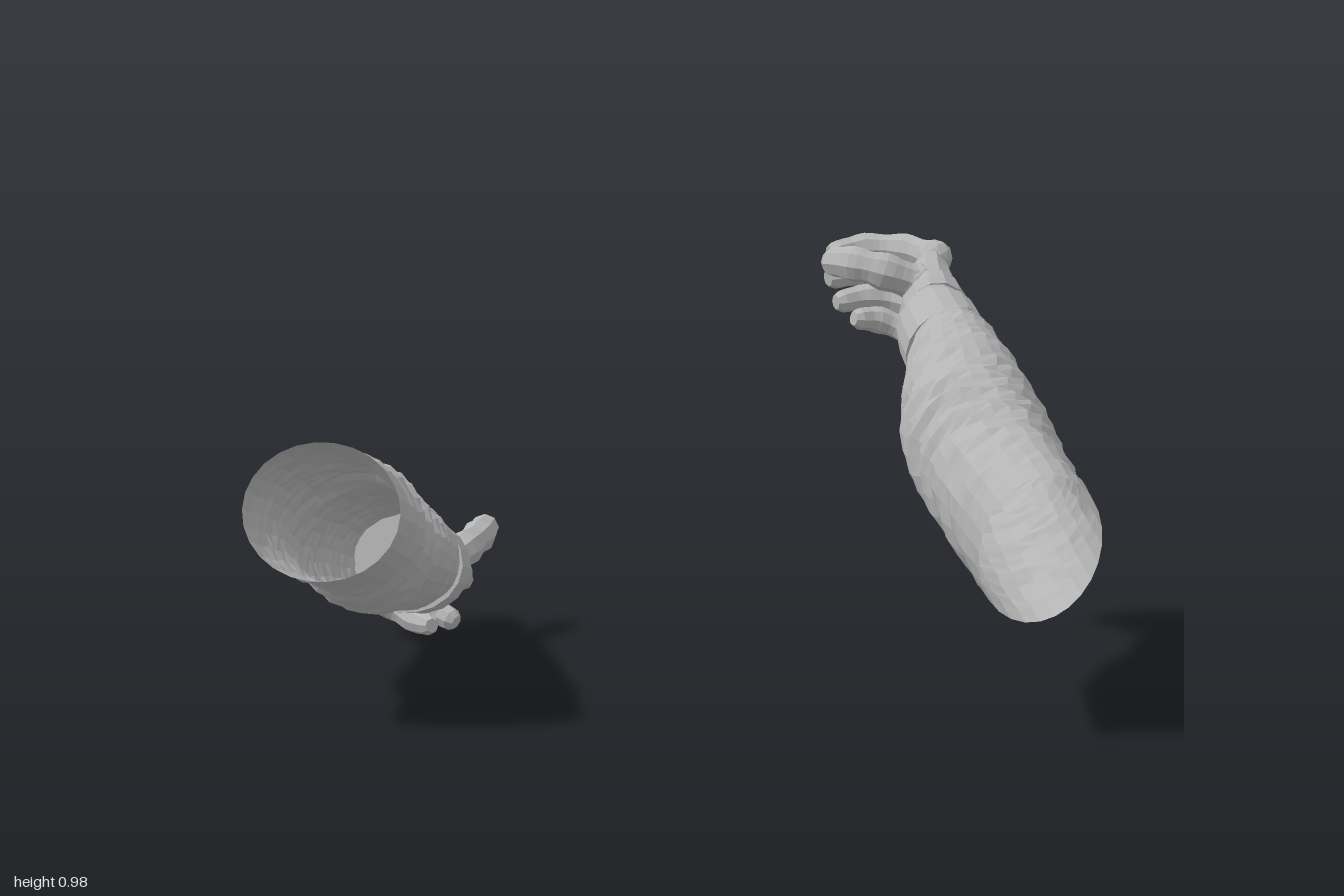
import * as THREE from 'three';

const grey = new THREE.MeshStandardMaterial({ color: 0xb4b4b4, flatShading: true, side: THREE.DoubleSide });
grey.name = 'pale grey';

// small seeded random
function seeded(seed) {
  let s = seed;
  return () => {
    s = (s * 16807) % 2147483647;
    return s / 2147483647;
  };
}

// Skin of elliptical rings along a curve. Each station is [x, y, z, halfWidth, halfHeight].
function loft(name, stations, { rows = 10, sides = 10, roll = 0, capStart = false, capEnd = false, shape = () => 1 } = {}) {
  const curve = new THREE.CatmullRomCurve3(stations.map((s) => new THREE.Vector3(s[0], s[1], s[2])));
  const n = stations.length - 1;
  const pos = [], index = [];
  const up = new THREE.Vector3(), side = new THREE.Vector3(), p = new THREE.Vector3();
  for (let i = 0; i <= rows; i++) {
    const t = i / rows;
    const k = Math.min(Math.floor(t * n), n - 1), f = t * n - k;
    const ra = THREE.MathUtils.lerp(stations[k][3], stations[k + 1][3], f);
    const rb = THREE.MathUtils.lerp(stations[k][4], stations[k + 1][4], f);
    const c = curve.getPoint(t), tan = curve.getTangent(t);
    side.crossVectors(tan, new THREE.Vector3(0, 1, 0)).normalize().applyAxisAngle(tan, -roll);
    up.crossVectors(side, tan);
    for (let j = 0; j < sides; j++) {
      const a = (j / sides) * Math.PI * 2, m = shape(t, a);
      p.copy(c).addScaledVector(side, Math.cos(a) * ra * m).addScaledVector(up, Math.sin(a) * rb * m);
      pos.push(p.x, p.y, p.z);
    }
  }
  for (let i = 0; i < rows; i++) {
    for (let j = 0; j < sides; j++) {
      const j2 = (j + 1) % sides;
      const a = i * sides + j, b = i * sides + j2, d = a + sides, e = b + sides;
      index.push(a, d, b, b, d, e);
    }
  }
  const cap = (row, t, flip) => {
    const c = curve.getPoint(t), id = pos.length / 3;
    pos.push(c.x, c.y, c.z);
    for (let j = 0; j < sides; j++) {
      const a = row * sides + j, b = row * sides + ((j + 1) % sides);
      index.push(id, flip ? b : a, flip ? a : b);
    }
  };
  if (capStart) cap(0, 0, false);
  if (capEnd) cap(rows, 1, true);
  const indexed = new THREE.BufferGeometry();
  indexed.setAttribute('position', new THREE.Float32BufferAttribute(pos, 3));
  indexed.setIndex(index);
  const geo = indexed.toNonIndexed();
  geo.computeVertexNormals();
  const mesh = new THREE.Mesh(geo, grey);
  mesh.name = name;
  return mesh;
}

// Cloth folds: slanted ridges, deepest around the elbow
function folds(seed, phase) {
  const rnd = seeded(seed);
  return (t, a) => {
    const wave = t * 9 + 0.45 * Math.sin(a + phase) + 0.25 * Math.sin(2 * a + phase * 2);
    const f = wave - Math.floor(wave);
    const ridge = f < 0.3 ? f / 0.3 : (1 - f) / 0.7;
    const elbow = Math.exp(-(((t - 0.45) / 0.2) ** 2));
    const open = Math.min(1, t * 10);
    const around = 0.6 + 0.4 * Math.cos(a - phase);
    return 1 + open * ((ridge - 0.5) * (0.05 + 0.13 * elbow * around) + (rnd() - 0.5) * 0.05);
  };
}

// Finger: a jointed tube with a rounded tip
function finger(name, points, r) {
  const g = new THREE.Group();
  g.name = name;
  const n = points.length - 1;
  const stations = points.map((q, i) => [...q, r * (1 - 0.16 * i / n), r * (1 - 0.16 * i / n)]);
  const tip = (t) => {
    const joint = 1 + 0.08 * Math.cos(t * n * Math.PI * 2);
    return t > 0.84 ? joint * Math.sqrt(1 - ((t - 0.84) / 0.19) ** 2) : joint;
  };
  g.add(loft('fingerTube', stations, { rows: 15, sides: 8, capStart: true, capEnd: true, shape: tip }));
  const knuckle = new THREE.Mesh(new THREE.IcosahedronGeometry(r * 1.15, 1), grey);
  knuckle.name = 'knuckle';
  knuckle.position.set(...points[0]);
  g.add(knuckle);
  return g;
}

function arm(name, spec) {
  const g = new THREE.Group();
  g.name = name;
  g.add(loft('sleeve', spec.sleeve, { rows: 54, sides: 26, shape: folds(spec.seed, spec.phase) }));
  g.add(loft('cuff', spec.cuff, { rows: 2, sides: 18, capStart: true, capEnd: true }));
  g.add(loft('palm', spec.palm, { rows: 9, sides: 14, roll: spec.roll, capStart: true, capEnd: true }));
  g.add(loft('gloveBand', spec.band, { rows: 2, sides: 14, roll: spec.roll, capStart: true, capEnd: true }));
  for (const [part, r, ...points] of spec.fingers) g.add(finger(part, points, r));
  return g;
}

export function createModel() {
  const model = new THREE.Group();
  model.name = 'sleevedArms';

  // left arm, raised, with the hand curled as if round a handle
  model.add(arm('leftArm', {
    seed: 71, phase: 2.6, roll: 0,
    sleeve: [
      [0.865, 0.475, 0.505, 0.152, 0.195], [0.745, 0.55, 0.3, 0.16, 0.185], [0.665, 0.6, 0.14, 0.165, 0.175],
      [0.605, 0.64, 0, 0.17, 0.16], [0.535, 0.705, -0.19, 0.145, 0.15], [0.475, 0.765, -0.35, 0.105, 0.12],
      [0.45, 0.785, -0.41, 0.09, 0.105],
    ],
    cuff: [[0.462, 0.77, -0.365, 0.105, 0.115], [0.43, 0.795, -0.43, 0.103, 0.11], [0.41, 0.812, -0.475, 0.098, 0.105]],
    palm: [
      [0.43, 0.8, -0.42, 0.08, 0.085], [0.395, 0.83, -0.5, 0.078, 0.1],
      [0.375, 0.845, -0.57, 0.062, 0.125], [0.36, 0.852, -0.645, 0.045, 0.12],
    ],
    band: [[0.402, 0.822, -0.492, 0.083, 0.105], [0.394, 0.83, -0.51, 0.084, 0.11], [0.388, 0.836, -0.528, 0.078, 0.113]],
    fingers: [
      ['indexFinger', 0.038, [0.37, 0.945, -0.63], [0.29, 0.95, -0.69], [0.19, 0.95, -0.69], [0.12, 0.945, -0.625]],
      ['middleFinger', 0.038, [0.37, 0.88, -0.65], [0.28, 0.89, -0.7], [0.18, 0.895, -0.69], [0.115, 0.885, -0.63]],
      ['ringFinger', 0.036, [0.37, 0.815, -0.65], [0.29, 0.825, -0.695], [0.2, 0.835, -0.68], [0.135, 0.83, -0.625]],
      ['littleFinger', 0.034, [0.37, 0.75, -0.63], [0.3, 0.76, -0.675], [0.23, 0.785, -0.665], [0.18, 0.795, -0.615]],
      ['thumb', 0.045, [0.36, 0.9, -0.52], [0.28, 0.935, -0.485], [0.21, 0.95, -0.485], [0.135, 0.945, -0.53]],
    ],
  }));

  // right arm, lowered, with the hand reaching forward
  model.add(arm('rightArm', {
    seed: 293, phase: 0.9, roll: 0.55,
    sleeve: [
      [-0.81, 0.54, 0.735, 0.19, 0.165], [-0.81, 0.485, 0.53, 0.172, 0.16], [-0.81, 0.43, 0.35, 0.165, 0.155],
      [-0.81, 0.36, 0.19, 0.165, 0.155], [-0.812, 0.318, 0.02, 0.152, 0.14], [-0.805, 0.28, -0.12, 0.138, 0.128],
      [-0.802, 0.24, -0.26, 0.12, 0.105],
    ],
    cuff: [[-0.803, 0.248, -0.205, 0.134, 0.117], [-0.802, 0.232, -0.27, 0.13, 0.114], [-0.802, 0.218, -0.335, 0.124, 0.112]],
    palm: [
      [-0.8, 0.21, -0.3, 0.1, 0.085], [-0.812, 0.195, -0.4, 0.108, 0.078],
      [-0.838, 0.185, -0.48, 0.115, 0.068], [-0.855, 0.178, -0.55, 0.1, 0.045],
    ],
    band: [[-0.806, 0.202, -0.365, 0.11, 0.087], [-0.81, 0.198, -0.385, 0.113, 0.086], [-0.814, 0.194, -0.405, 0.114, 0.082]],
    fingers: [
      ['indexFinger', 0.036, [-0.785, 0.215, -0.53], [-0.785, 0.185, -0.64], [-0.788, 0.14, -0.71], [-0.79, 0.1, -0.775]],
      ['middleFinger', 0.037, [-0.84, 0.195, -0.545], [-0.835, 0.16, -0.64], [-0.825, 0.12, -0.7], [-0.815, 0.08, -0.745]],
      ['ringFinger', 0.036, [-0.89, 0.165, -0.54], [-0.885, 0.115, -0.635], [-0.835, 0.06, -0.65], [-0.775, 0.032, -0.625]],
      ['littleFinger', 0.034, [-0.93, 0.135, -0.51], [-0.925, 0.08, -0.575], [-0.86, 0.05, -0.555], [-0.8, 0.052, -0.47]],
      ['thumb', 0.042, [-0.755, 0.21, -0.42], [-0.725, 0.235, -0.5], [-0.71, 0.25, -0.58], [-0.705, 0.265, -0.65]],
    ],
  }));

  return model;
}
